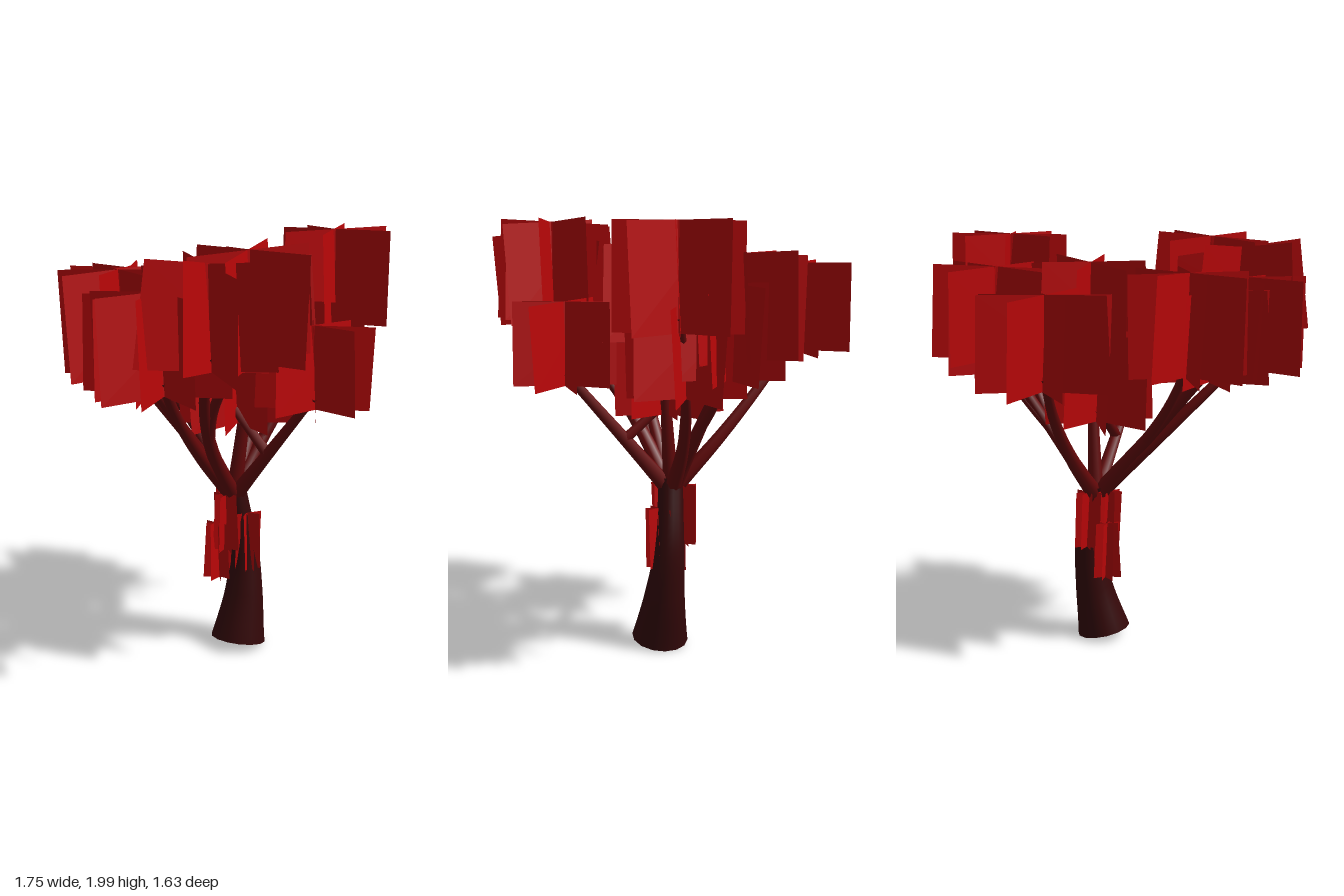
import * as THREE from 'three';

const trunkMat = new THREE.MeshStandardMaterial({ name: 'darkBark', color: 0x360809 });
const branchMat = new THREE.MeshStandardMaterial({ name: 'redBark', color: 0x640809 });
const leafMat = new THREE.MeshStandardMaterial({ name: 'redLeaf', color: 0xb80608, side: THREE.DoubleSide });
const vec = (x, y, z) => new THREE.Vector3(x, y, z);
const rad = THREE.MathUtils.degToRad;

// Round limb along a curve, its radius given by a function of 0..1
function limb(name, curve, radiusAt, mat, sides, segs) {
  const geo = new THREE.TubeGeometry(curve, segs, 1, sides, false);
  const pos = geo.attributes.position;
  const v = vec(0, 0, 0);
  for (let n = 0; n < pos.count; n++) {
    const u = Math.floor(n / (sides + 1)) / segs;
    const c = curve.getPointAt(u);
    v.fromBufferAttribute(pos, n).sub(c).multiplyScalar(radiusAt(u)).add(c);
    pos.setXYZ(n, v.x, v.y, v.z);
  }
  const mesh = new THREE.Mesh(geo, mat);
  mesh.name = name;
  return mesh;
}

// Branch path: straight run with a sideways bow
function branchCurve(start, end, bow) {
  const side = vec(end.z - start.z, 0, start.x - end.x).normalize();
  const points = [0, 0.33, 0.67, 1].map(t =>
    start.clone().lerp(end, t).addScaledVector(side, bow * Math.sin(Math.PI * t)));
  return new THREE.CatmullRomCurve3(points);
}

// Four thin leaf panels crossing on one axis, each leaning and rolled a little
function leafCluster(name, centre, turn, width, height, roll) {
  const g = new THREE.Group();
  g.name = name;
  [0, 40, 86, 133].forEach((step, i) => {
    const panel = new THREE.Mesh(new THREE.PlaneGeometry(width * (1 - 0.04 * (i % 3)), height), leafMat);
    panel.name = 'leafPanel';
    panel.rotation.set(rad(-2.5), rad(turn + step), rad(roll * [1, -0.6, 0.5, -0.8][i]), 'YXZ');
    g.add(panel);
  });
  g.position.copy(centre);
  return g;
}

export function createModel() {
  const tree = new THREE.Group();
  tree.name = 'tree';

  // Trunk with a flared, slightly tilted foot
  const trunk = new THREE.CatmullRomCurve3([
    vec(0.065, 0.03, 0.15), vec(0.115, 0.26, 0.145), vec(0.134, 0.48, 0.13), vec(0.085, 0.8, 0.1),
  ]);
  tree.add(limb('trunk', trunk, u => 0.058 + 0.074 * (1 - u) ** 2.1, trunkMat, 14, 20));
  const foot = new THREE.Mesh(new THREE.CircleGeometry(0.132, 14), trunkMat);
  foot.name = 'trunkFoot';
  foot.position.copy(trunk.getPointAt(0));
  foot.quaternion.setFromUnitVectors(vec(0, 0, 1), trunk.getTangentAt(0).negate());
  tree.add(foot);

  // Crown: x, y, z, turn, width, height, roll, branch bow; "from" names the limb it forks off
  const crown = {
    back: { at: [0.09, 1.575, -0.54, -6, 0.6, 0.41, -2, -0.05] },
    leftHigh: { at: [0.61, 1.75, 0.3, 22, 0.56, 0.45, 1, 0.02], from: 'leftLow' },
    leftLow: { at: [0.5, 1.44, 0.22, 12, 0.54, 0.4, -3, 0.03] },
    leftBack: { at: [0.56, 1.62, 0, 27, 0.58, 0.44, 3, 0] },
    leftInner: { at: [0.57, 1.52, 0.06, 5, 0.52, 0.4, -2, 0.02], from: 'leftBack' },
    rightFront: { at: [-0.53, 1.71, 0.44, 20, 0.6, 0.43, -8, -0.07] },
    rightHigh: { at: [-0.35, 1.74, 0.51, 18, 0.53, 0.46, 5, -0.05], from: 'rightFront' },
    rightOuter: { at: [-0.59, 1.59, 0.24, -17, 0.58, 0.43, 1, -0.05] },
    rightInner: { at: [-0.48, 1.55, 0.06, -10, 0.54, 0.42, -2, 0] },
    rightBack: { at: [-0.42, 1.62, -0.13, -15, 0.55, 0.46, 2, 0.03], from: 'rightInner' },
    front: { at: [0.02, 1.44, 0.58, -6, 0.5, 0.37, -2, 0] },
    middleHigh: { at: [0.14, 1.65, 0.17, -36, 0.58, 0.42, 4, 0] },
    middleLow: { at: [0.08, 1.32, 0.11, -14, 0.54, 0.43, 3, 0], from: 'front' },
  };
  const pathTo = ({ at, from }) => {
    const [x, y, z, , , height, , bow] = at;
    const start = from ? pathTo(crown[from]).getPointAt(0.45) : vec(0.088, 0.74, 0.1);
    return branchCurve(start, vec(x, y - height * 0.35, z), bow);
  };
  Object.values(crown).forEach(part => {
    const [x, y, z, turn, width, height, roll] = part.at;
    const base = part.from ? 0.028 : 0.046;
    tree.add(limb('branch', pathTo(part), u => THREE.MathUtils.lerp(base, 0.02, Math.sqrt(u)), branchMat, 8, 14));
    tree.add(leafCluster('crownLeaves', vec(x, y, z), turn, width, height, roll));
  });

  // Small leaf tufts clinging to the upper trunk
  [vec(0.02, 0.48, 0.06), vec(0.11, 0.53, 0.17), vec(0.11, 0.63, 0.05), vec(0.03, 0.63, 0.1)].forEach((p, i) =>
    tree.add(leafCluster('trunkLeaves', p, 5 + 17 * i, 0.13, 0.28, 2 * i - 3)));

  return tree;
}
